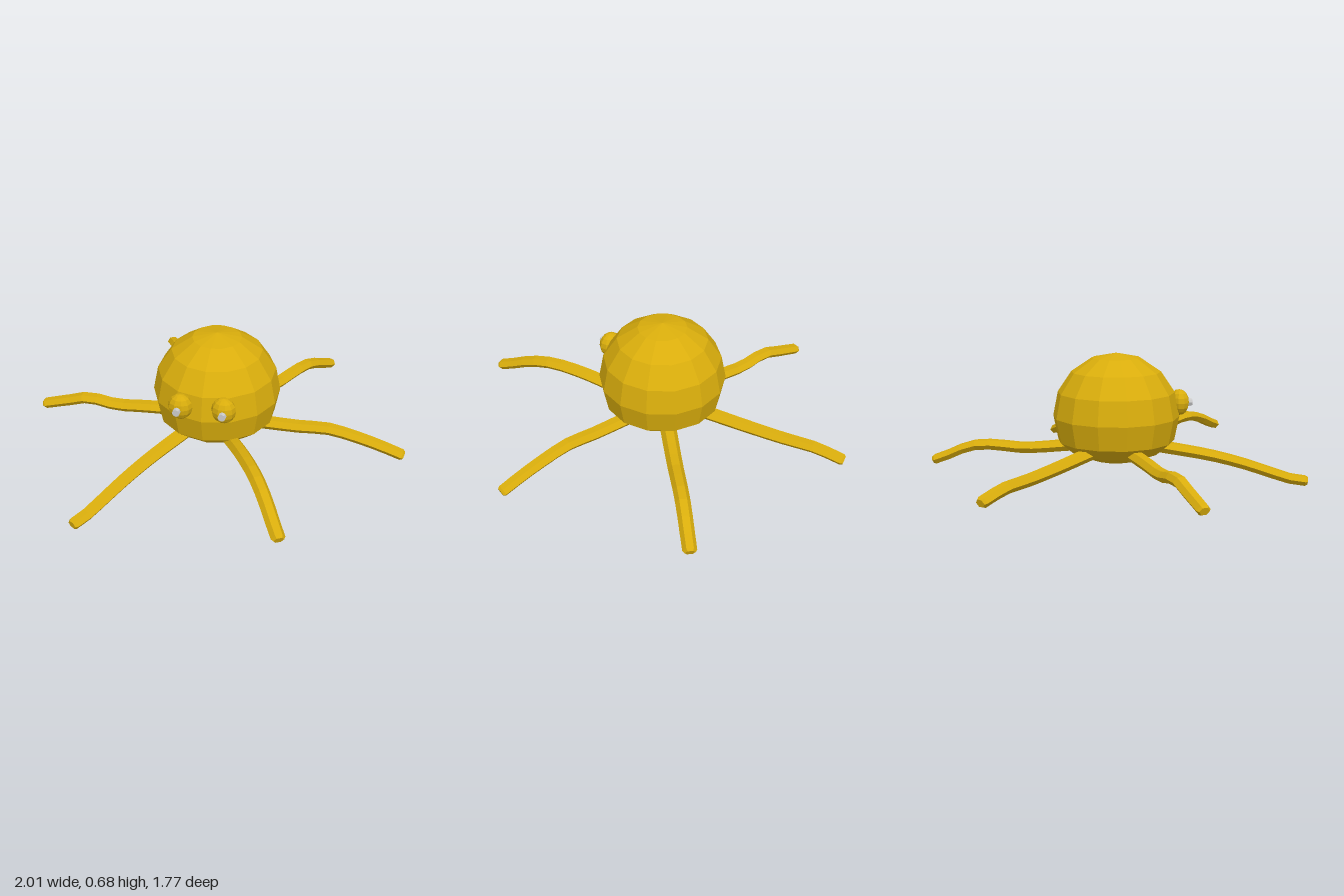
import * as THREE from 'three';

const skin = new THREE.MeshStandardMaterial({ color: 0xd9ad0c, flatShading: true });
const grey = new THREE.MeshStandardMaterial({ color: 0xcccccc, flatShading: true });

function addMesh(parent, name, geometry, material) {
  const mesh = new THREE.Mesh(geometry, material);
  mesh.name = name;
  parent.add(mesh);
  return mesh;
}

// Round body with a flattened underside
function bodyGeometry() {
  const radius = 0.333, centre = 0.35, rim = 0.222;
  const profile = [];
  for (let i = 0; i <= 8; i++) {
    const a = Math.PI * (1 - i / 8);
    let y = centre + radius * Math.cos(a);
    if (i < 3) y = rim + (y - rim) * 0.57;
    profile.push(new THREE.Vector2(Math.max(0, radius * Math.sin(a)), y));
  }
  return new THREE.LatheGeometry(profile, 14);
}

// Wavy tentacle swept along [distance from centre, height] points
function tentacleGeometry(angle, points) {
  const out = new THREE.Vector3(Math.cos(angle), 0, Math.sin(angle));
  const side = new THREE.Vector3(-Math.sin(angle), 0, Math.cos(angle));
  const curve = new THREE.CatmullRomCurve3(
    points.map(([r, y]) => out.clone().multiplyScalar(r).setY(y)));
  const rings = 10, sides = 6;
  const positions = [], index = [];
  for (let i = 0; i <= rings + 1; i++) {
    // The last ring closes the tip with a small bevel
    const u = i < rings ? i / rings * 0.98 + 0.005 : i === rings ? 0.985 : 1;
    const bevel = i > rings ? 0.75 : 1;
    const p = curve.getPointAt(u);
    const normal = side.clone().cross(curve.getTangentAt(u));
    const width = (0.043 - 0.008 * u) * bevel;
    const height = (0.029 - 0.005 * u) * bevel;
    for (let j = 0; j < sides; j++) {
      const a = j / sides * Math.PI * 2;
      const v = p.clone()
        .addScaledVector(side, Math.cos(a) * width)
        .addScaledVector(normal, Math.sin(a) * height / 0.866);
      positions.push(v.x, v.y, v.z);
      if (i > 0) {
        const k = (j + 1) % sides, row = i * sides, prev = row - sides;
        index.push(prev + j, row + j, prev + k, prev + k, row + j, row + k);
      }
    }
  }
  const last = (rings + 1) * sides;
  for (let j = 1; j < sides - 1; j++) {
    index.push(j + 1, 0, j);
    index.push(last, last + j + 1, last + j);
  }
  const geometry = new THREE.BufferGeometry();
  geometry.setAttribute('position', new THREE.Float32BufferAttribute(positions, 3));
  geometry.setIndex(index);
  geometry.computeVertexNormals();
  return geometry;
}

export function createModel() {
  const model = new THREE.Group();
  model.name = 'octopus';
  addMesh(model, 'body', bodyGeometry(), skin);

  // Six tentacles, every 60 degrees, each with its own wave
  const tentacles = [
    ['leftTentacle', [[0.2, 0.175], [0.45, 0.178], [0.6, 0.188], [0.75, 0.16], [0.87, 0.128], [1, 0.085]]],
    ['frontLeftTentacle', [[0.2, 0.175], [0.46, 0.23], [0.66, 0.245], [0.8, 0.22], [0.9, 0.18], [1.005, 0.142]]],
    ['frontRightTentacle', [[0.2, 0.195], [0.5, 0.15], [0.68, 0.108], [0.82, 0.065], [0.92, 0.036], [1.005, 0.027]]],
    ['rightTentacle', [[0.2, 0.185], [0.4, 0.172], [0.57, 0.158], [0.73, 0.178], [0.83, 0.15], [1, 0.1]]],
    ['backRightTentacle', [[0.2, 0.185], [0.5, 0.155], [0.7, 0.14], [0.85, 0.135], [1.005, 0.1]]],
    ['backLeftTentacle', [[0.2, 0.19], [0.5, 0.163], [0.68, 0.175], [0.8, 0.163], [0.9, 0.12], [1.005, 0.08]]],
  ];
  tentacles.forEach(([name, points], i) =>
    addMesh(model, name, tentacleGeometry(i * Math.PI / 3, points), skin));

  // Bulging eyes with small round pupils
  for (const [name, s, y] of [['left', 1, 0.427], ['right', -1, 0.418]]) {
    const eye = addMesh(model, name + 'Eye', new THREE.SphereGeometry(1, 10, 8), skin);
    eye.scale.set(0.063, 0.069, 0.05);
    eye.position.set(s * 0.111, y, 0.315);
    const pupil = addMesh(model, name + 'Pupil', new THREE.CylinderGeometry(0.02, 0.02, 0.04, 8), grey);
    pupil.rotation.x = Math.PI / 2;
    pupil.position.set(s * 0.116, y - 0.002, 0.363);
  }
  return model;
}
